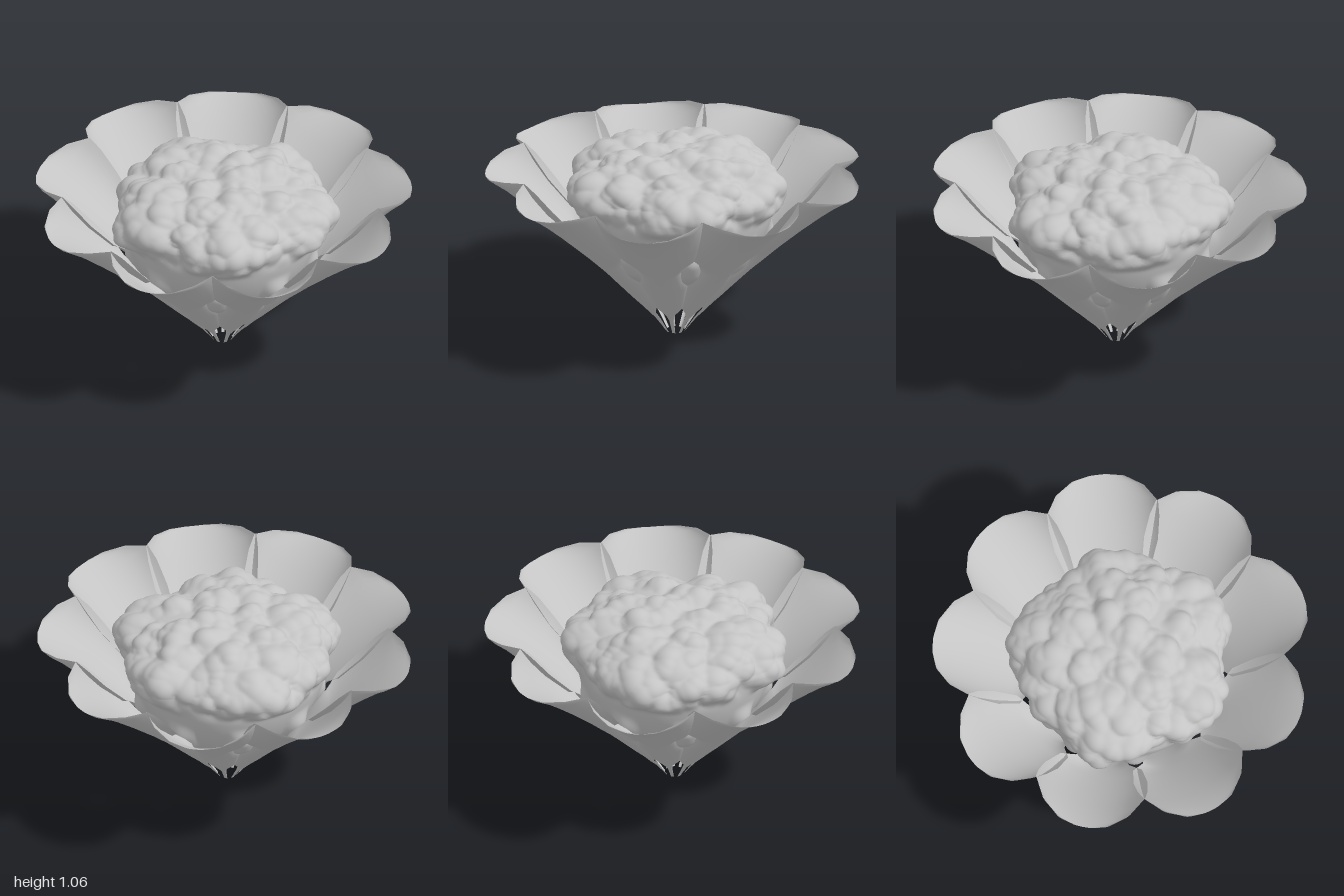
import * as THREE from 'three';
import { mergeVertices } from 'three/addons/utils/BufferGeometryUtils.js';

const LEAVES = 9;

// Leaf sections from stalk to tip: radius, height, half width, cupping depth
const SECTIONS = [
  [0.05, 0.0, 0.008, 0.0],
  [0.12, 0.09, 0.013, 0.01],
  [0.165, 0.135, 0.025, 0.015],
  [0.205, 0.18, 0.068, 0.025],
  [0.26, 0.235, 0.094, 0.035],
  [0.38, 0.36, 0.132, 0.05],
  [0.44, 0.42, 0.124, 0.055],
  [0.5, 0.475, 0.113, 0.06],
  [0.55, 0.523, 0.145, 0.07],
  [0.6, 0.57, 0.22, 0.095],
  [0.73, 0.685, 0.275, 0.123],
  [0.84, 0.775, 0.295, 0.153],
  [0.91, 0.828, 0.296, 0.165],
  [0.965, 0.865, 0.235, 0.09],
  [0.998, 0.885, 0.14, 0.028],
  [1.006, 0.89, 0.05, 0.004],
];

// Cupped leaf growing outwards along +z
function leafGeometry() {
  const across = 16;
  const positions = [];
  const indices = [];
  SECTIONS.forEach(([r, y, w, d], row) => {
    for (let i = 0; i <= across; i++) {
      const u = (i / across) * 2 - 1;
      const x = (w * Math.sin(1.15 * u)) / Math.sin(1.15);
      const lift = d * u * u;
      positions.push(x, y + 0.73 * lift, r - 0.68 * lift);
      if (row > 0 && i > 0) {
        const b = row * (across + 1) + i;
        const a = b - across - 1;
        indices.push(a - 1, a, b, a - 1, b, b - 1);
      }
    }
  });
  const geo = new THREE.BufferGeometry();
  geo.setAttribute('position', new THREE.Float32BufferAttribute(positions, 3));
  geo.setIndex(indices);
  geo.computeVertexNormals();
  return geo;
}

// Point on the smooth head: shallow dome above, deep bowl below
function headPoint(v) {
  return new THREE.Vector3(v.x * 0.53, 0.82 + v.y * (v.y > 0 ? 0.175 : 0.58), v.z * 0.53);
}

// Evenly scattered, jittered lump centres on the upper head
function lumpCentres(count, seed) {
  let s = seed;
  const rand = () => (s = (s * 16807) % 2147483647) / 2147483647;
  return Array.from({ length: count }, (_, i) => {
    const y = 1 - (1.2 * (i + 0.5)) / count;
    const a = i * 2.39996 + (rand() - 0.5) * 0.5;
    const r = Math.sqrt(1 - y * y);
    return {
      p: headPoint(new THREE.Vector3(r * Math.cos(a), y, r * Math.sin(a))),
      size: 0.65 + 0.7 * rand(),
    };
  });
}

// Height of the tallest soft lump covering a point
function lumpHeight(p, lumps, radius, height) {
  let best = 0;
  for (const l of lumps) {
    const k = p.distanceTo(l.p) / (radius * l.size);
    if (k < 1) best = Math.max(best, height * l.size * (1 - k * k));
  }
  return best;
}

function headGeometry() {
  let geo = new THREE.IcosahedronGeometry(1, 42);
  geo.deleteAttribute('normal');
  geo.deleteAttribute('uv');
  geo = mergeVertices(geo, 1e-4);
  const { smoothstep } = THREE.MathUtils;
  const big = lumpCentres(48, 11);
  const small = lumpCentres(190, 77);
  const pos = geo.attributes.position;
  const v = new THREE.Vector3();
  for (let i = 0; i < pos.count; i++) {
    v.fromBufferAttribute(pos, i).normalize();
    const p = headPoint(v);
    const angle = Math.atan2(v.z, v.x);
    const fade = smoothstep(p.y, 0.7, 0.79);
    // Five blunt corners around the rim
    const corner = 0.022 * Math.cos(5 * angle) * Math.hypot(v.x, v.z) ** 3;
    const bump = lumpHeight(p, big, 0.12, 0.05) + lumpHeight(p, small, 0.06, 0.02);
    p.addScaledVector(v, (bump + corner) * fade);
    // Bulges filling the gaps between the leaves
    const band = smoothstep(p.y, 0.36, 0.48) * (1 - smoothstep(p.y, 0.54, 0.66));
    const bulge = 1 + 0.1 * band * Math.max(0, Math.cos(LEAVES * angle));
    pos.setXYZ(i, p.x * bulge, p.y, p.z * bulge);
  }
  geo.computeVertexNormals();
  return geo;
}

export function createModel() {
  const group = new THREE.Group();
  const grey = new THREE.MeshStandardMaterial({ color: 0xc4c4c4, side: THREE.DoubleSide });
  grey.name = 'light grey';
  const centreX = 0.017; // balances the odd number of leaves

  // Lumpy head
  const head = new THREE.Mesh(headGeometry(), grey);
  head.name = 'head';
  head.position.x = centreX;
  group.add(head);

  // Ring of leaves, one pointing to -x
  const geo = leafGeometry();
  for (let i = 0; i < LEAVES; i++) {
    const leaf = new THREE.Mesh(geo, grey);
    leaf.name = 'leaf' + (i + 1);
    leaf.position.x = centreX;
    leaf.rotation.y = -Math.PI / 2 + (i * Math.PI * 2) / LEAVES;
    group.add(leaf);
  }
  return group;
}
